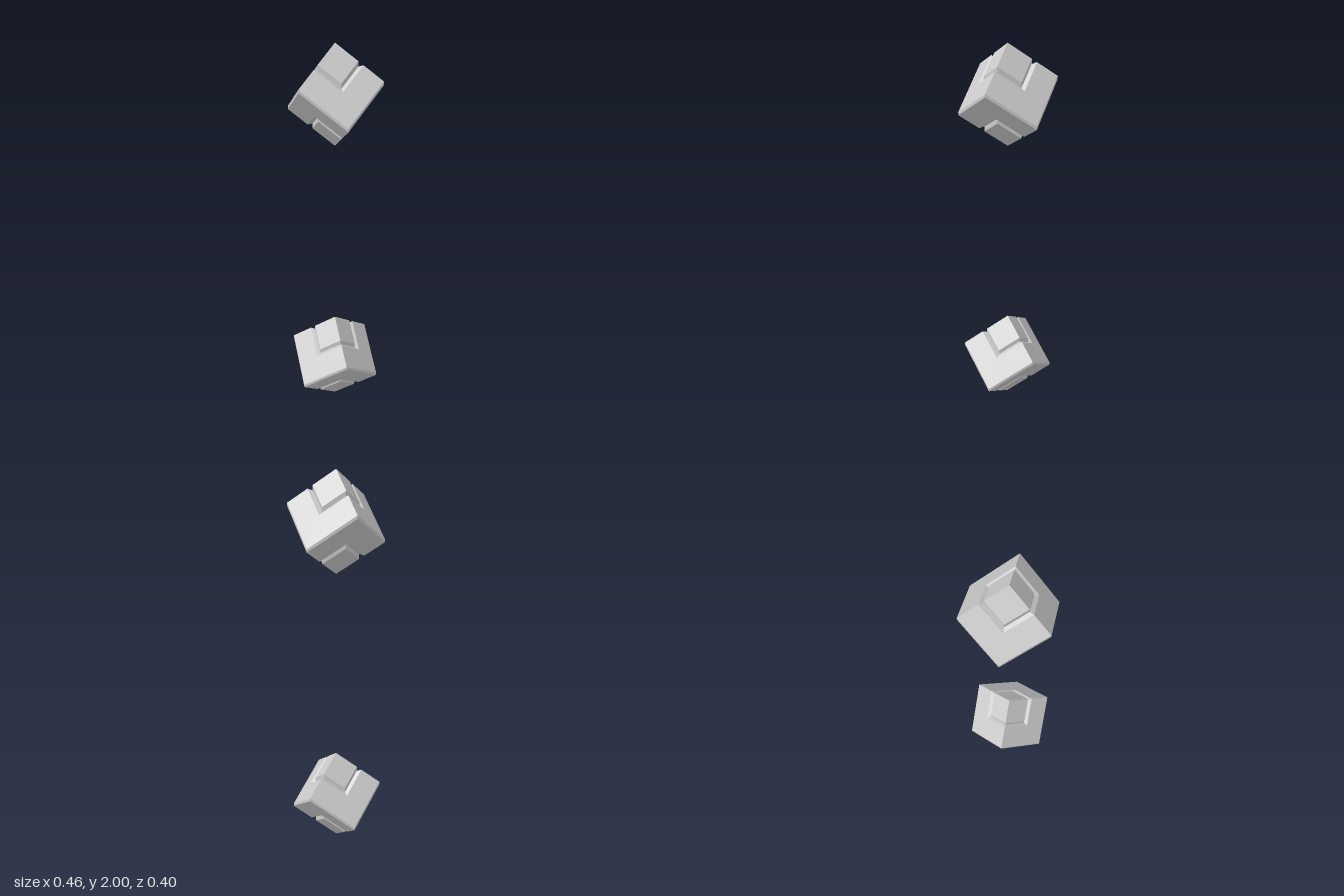
import * as THREE from 'three';

const HEIGHT = 0.506; // corner to corner of one cube

// Cross-sections of the upper half: [radius, drop below the cube's faces]
const SECTIONS = [
  [0, 0], // tip
  [0.11, 0], // rim of the corner block
  [0.11, 0.025], // bottom of the V groove
  [0.134, 0], // outer rim of the groove
  [0.231, 0], // start of the bevelled zigzag edge
];

// Zigzag hexagon lying on the three faces that meet at the top (or bottom) corner
function zigzag([radius, drop], upper) {
  const points = [];
  for (let k = 0; k < 6; k++) {
    const angle = (k * Math.PI) / 3;
    const onEdge = (k % 2 === 0) === upper;
    const depth = radius * (onEdge ? Math.SQRT1_2 : Math.SQRT2) + drop;
    const y = upper ? HEIGHT - depth : depth;
    points.push([radius * Math.cos(angle), y, -radius * Math.sin(angle)]);
  }
  return points;
}

// Cube balanced on a corner, with a groove around its top and bottom corners
function cubeGeometry() {
  const sections = [
    ...SECTIONS.map((s) => zigzag(s, true)),
    ...[...SECTIONS].reverse().map((s) => zigzag(s, false)),
  ];
  const positions = [];
  for (let i = 0; i < sections.length - 1; i++) {
    for (let k = 0; k < 6; k++) {
      const n = (k + 1) % 6;
      const a = sections[i][k], b = sections[i][n];
      const c = sections[i + 1][k], d = sections[i + 1][n];
      if (i < sections.length - 2) positions.push(...a, ...c, ...d);
      if (i > 0) positions.push(...a, ...d, ...b);
    }
  }
  const geometry = new THREE.BufferGeometry();
  geometry.setAttribute('position', new THREE.Float32BufferAttribute(positions, 3));
  geometry.computeVertexNormals();
  return geometry;
}

export function createModel() {
  const model = new THREE.Group();
  model.name = 'cubePair';
  const geometry = cubeGeometry();
  const material = new THREE.MeshStandardMaterial({ color: 0xcccccc, flatShading: true });

  const upper = new THREE.Mesh(geometry, material);
  upper.name = 'upperCube';
  upper.position.y = 2 - HEIGHT;

  // Lower cube is turned half a turn from the upper one
  const lower = new THREE.Mesh(geometry, material);
  lower.name = 'lowerCube';
  lower.rotation.y = Math.PI;

  model.add(upper, lower);
  return model;
}
